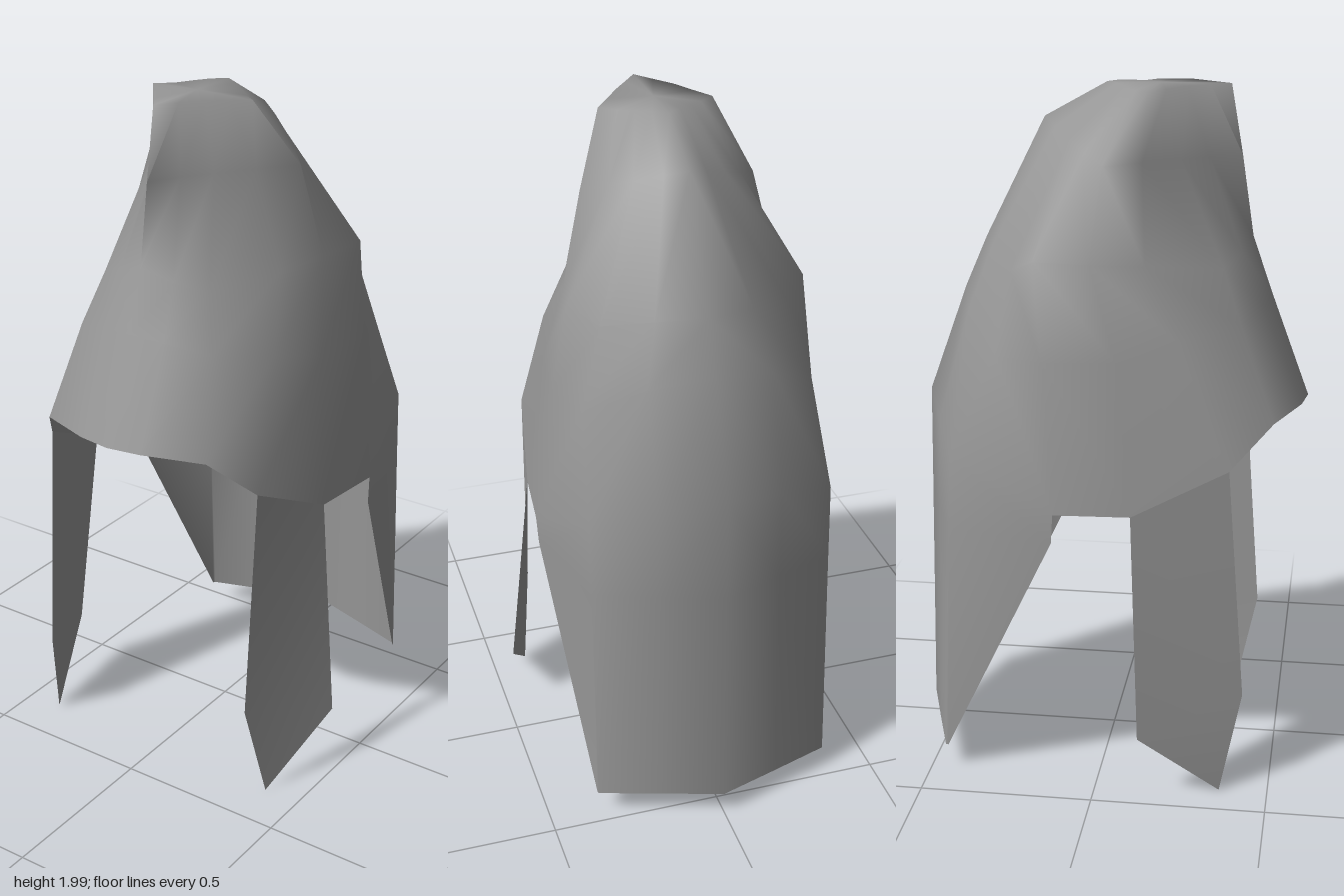
import * as THREE from 'three';
import { toCreasedNormals } from 'three/addons/utils/BufferGeometryUtils.js';

// Half rings of the hood, front centre round the +x side to back centre
const rings = [
  [[0, 2, .33], [.04, 2, .275], [.085, 2, .215], [.125, 1.995, .16], [.165, 1.99, .11], [.12, 1.99, .075], [.08, 1.995, .04], [.04, 2, .01], [0, 2, -.02]],
  [[0, 1.8, .365], [.045, 1.8, .275], [.1, 1.8, .2], [.17, 1.8, .1], [.25, 1.8, 0], [.19, 1.825, -.06], [.13, 1.85, -.11], [.06, 1.88, -.16], [0, 1.9, -.2]],
  [[0, 1.57, .4], [.09, 1.54, .375], [.175, 1.51, .33], [.265, 1.53, .12], [.31, 1.54, -.03], [.34, 1.55, -.18], [.27, 1.51, -.255], [.14, 1.54, -.335], [0, 1.55, -.375]],
  [[0, 1.4, .46], [.1, 1.39, .44], [.22, 1.36, .385], [.315, 1.33, .22], [.36, 1.28, .05], [.383, 1.28, -.15], [.335, 1.28, -.29], [.18, 1.37, -.395], [0, 1.4, -.44]],
  [[0, 1.105, .57], [.1, 1.105, .555], [.27, 1.095, .485], [.36, .98, .37], [.41, .85, .1], [.435, .855, -.115], [.355, .99, -.42], [.18, 1.04, -.49], [0, 1.08, -.555]],
];

// Rows of the long back panel, side edge to back centre
const backRows = [
  [[.43, .77, -.12], [.354, .77, -.43], [.18, .77, -.497], [0, .77, -.56]],
  [[.357, .08, -.45], [.355, .08, -.458], [.18, .08, -.515], [0, .08, -.572]],
];

const mirror = ([x, y, z]) => [-x, y, z];

// Collects triangles on the +x side and, reversed, on the -x side
function addTriangle(out, a, b, c) {
  out.push(...a, ...b, ...c, ...mirror(a), ...mirror(c), ...mirror(b));
}

function addStrip(out, upper, lower) {
  for (let i = 0; i < upper.length - 1; i++) {
    addTriangle(out, upper[i], lower[i], upper[i + 1]);
    addTriangle(out, upper[i + 1], lower[i], lower[i + 1]);
  }
}

function toGeometry(points, crease) {
  const g = new THREE.BufferGeometry();
  g.setAttribute('position', new THREE.Float32BufferAttribute(points, 3));
  return toCreasedNormals(g, crease);
}

export function createModel() {
  const group = new THREE.Group();
  const grey = new THREE.MeshStandardMaterial({ color: 0x969696, side: THREE.DoubleSide });
  grey.name = 'grey';

  const add = (name, geometry) => {
    const mesh = new THREE.Mesh(geometry, grey);
    mesh.name = name;
    group.add(mesh);
  };

  // Pointed hood with its flat top and the long panel down the back
  const hood = [];
  const crown = [0, 2, .13];
  for (let i = 0; i < 8; i++) addTriangle(hood, crown, rings[0][i], rings[0][i + 1]);
  for (let r = 0; r < rings.length - 1; r++) addStrip(hood, rings[r], rings[r + 1]);
  addStrip(hood, rings[4].slice(5), backRows[0]);
  addStrip(hood, backRows[0], backRows[1]);
  add('hoodAndBackPanel', toGeometry(hood, 2));

  // Tapered strips hanging at the front of each side
  const locks = [];
  const front = [.355, .3, .42], tip = [.39, .01, .36], back = [.475, .2, .13];
  addStrip(locks, [rings[4][3], rings[4][4]], [front, back]);
  addTriangle(locks, front, tip, back);
  add('sideStrips', toGeometry(locks, 1.1));

  return group;
}
